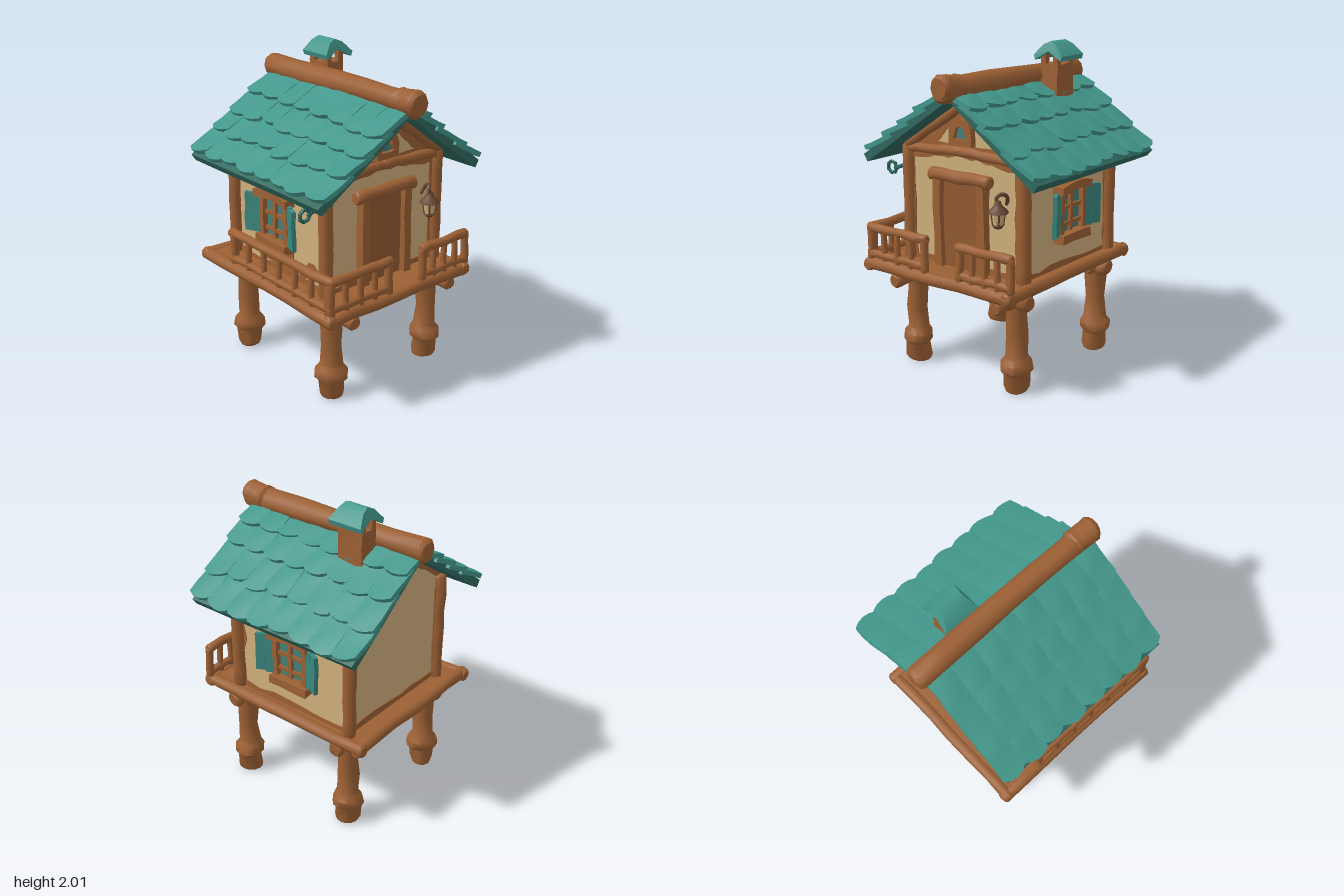
import * as THREE from 'three';
import { toCreasedNormals } from 'three/addons/utils/BufferGeometryUtils.js';

const mat = (name, color) => {
  const m = new THREE.MeshStandardMaterial({ color });
  m.name = name;
  return m;
};
const V = (x, y, z) => new THREE.Vector3(x, y, z);

export function createModel() {
  const house = new THREE.Group();
  house.name = 'stiltHouse';
  const wood = mat('wood', 0x9c6034), doorWood = mat('doorWood', 0x925a31);
  const teal = mat('tealShingle', 0x43978b), deckTeal = mat('roofUnderside', 0x31695f);
  const shutterTeal = mat('shutterTeal', 0x3a877d), plaster = mat('plaster', 0xcfb07c);
  const glass = mat('windowGlass', 0x437f78), iron = mat('lanternIron', 0x664732);
  let seed = 7;
  const rnd = () => (seed = (seed * 16807) % 2147483647) / 2147483647;

  // Gentle hand-carved unevenness
  const wobble = (geo, amp) => {
    const p = geo.attributes.position, k = rnd() * 9;
    for (let i = 0; i < p.count; i++) {
      const x = p.getX(i), y = p.getY(i), z = p.getZ(i);
      p.setXYZ(i, x + amp * Math.sin(y * 23 + z * 17 + k), y + amp * Math.sin(x * 19 + z * 21 + k * 2),
        z + amp * Math.sin(x * 18 + y * 25 + k * 3));
    }
    return geo;
  };
  const add = (parent, name, geo, material, amp = 0, crease = 0.6) => {
    if (amp) wobble(geo, amp);
    const m = new THREE.Mesh(toCreasedNormals(geo, crease), material);
    m.name = name;
    parent.add(m);
    return m;
  };
  const box = (parent, name, size, pos, material, amp = 0) => {
    const m = add(parent, name, new THREE.BoxGeometry(...size, 3, 3, 3), material, amp);
    m.position.set(...pos);
    return m;
  };
  const lathe = (parent, name, pts, pos, material, sides = 12, amp = 0) => {
    const m = add(parent, name, new THREE.LatheGeometry(pts.map(p => new THREE.Vector2(...p)), sides), material, amp, 0.8);
    m.position.set(...pos);
    return m;
  };
  // Rounded-end log between two points
  const log = (parent, name, a, b, r, amp = 0.004, material = wood) => {
    const d = b.clone().sub(a), L = d.length(), e = r * 0.3, pts = [[0, 0], [r * 0.75, 0], [r, e]];
    for (let i = 1; i < 6; i++) pts.push([r * (0.92 + 0.06 * rnd()), e + (L - 2 * e) * i / 6]);
    pts.push([r, L - e], [r * 0.75, L], [0, L]);
    const m = lathe(parent, name, pts, a.toArray(), material, 10, amp);
    m.quaternion.setFromUnitVectors(V(0, 1, 0), d.normalize());
    return m;
  };
  const shapeOf = pts => new THREE.Shape(pts.map(p => new THREE.Vector2(...p)));
  const extrude = (shape, depth) => new THREE.ExtrudeGeometry(shape, { depth, bevelEnabled: false });
  // Places a (z, y) extrusion so that it runs along x, ending at xMax
  const alongX = (parent, name, geo, xMax, material) => {
    const m = add(parent, name, geo, material);
    m.rotation.y = -Math.PI / 2;
    m.position.x = xMax;
    return m;
  };
  // Closed outline subdivided with an uneven, worn edge
  const wornPath = (corners, amp) => {
    const pts = [];
    corners.forEach((c, i) => {
      const n = corners[(i + 1) % corners.length];
      for (let j = 0; j < 7; j++) {
        pts.push(new THREE.Vector2(c[0] + (n[0] - c[0]) * j / 7 + (rnd() - 0.5) * amp,
          c[1] + (n[1] - c[1]) * j / 7 + (rnd() - 0.5) * amp));
      }
    });
    return new THREE.Path(pts);
  };

  // Stilts with crossed bracket logs
  const legProfile = [[0, 0], [0.07, 0], [0.08, 0.025], [0.078, 0.11], [0.098, 0.135], [0.096, 0.18],
    [0.07, 0.215], [0.064, 0.35], [0.066, 0.48], [0.074, 0.62]];
  for (const x of [-0.42, 0.42]) for (const z of [0.4, -0.39]) {
    lathe(house, 'stilt', legProfile, [x, 0, z], wood, 12, 0.006);
    log(house, 'bracketLog', V(x - 0.12, 0.57, z), V(x + (x > 0 ? 0.21 : 0.11), 0.57, z), 0.046);
    log(house, 'bracketLog', V(x + 0.02, 0.568, z - 0.11), V(x + 0.02, 0.568, z + 0.1), 0.055);
  }

  // Platform
  box(house, 'platformFloor', [1.2, 0.055, 1.08], [0.03, 0.65, 0.05], wood);
  for (const z of [0.585, -0.485]) log(house, 'platformEdge', V(-0.61, 0.65, z), V(0.67, 0.65, z), 0.042);
  for (const x of [-0.57, 0.63]) log(house, 'platformEdge', V(x, 0.65, -0.52), V(x, 0.65, 0.62), 0.041);

  // Railings
  const railing = (x0, z0, x1, z1, n) => {
    const g = new THREE.Group();
    g.name = 'railing';
    house.add(g);
    const at = (t, y) => V(x0 + (x1 - x0) * t, y, z0 + (z1 - z0) * t);
    log(g, 'topRail', at(0, 0.885), at(1, 0.885), 0.03);
    log(g, 'bottomRail', at(0.01, 0.718), at(0.99, 0.718), 0.026);
    for (let i = 0; i < n; i++) {
      const t = 0.04 + 0.92 * i / (n - 1);
      log(g, 'baluster', at(t, 0.68), at(t, 0.885), i % (n - 1) ? 0.02 : 0.026, 0.002);
    }
  };
  railing(-0.33, 0.58, 0.65, 0.58, 7);
  railing(0.63, 0.6, 0.63, 0.12, 5);
  railing(0.63, -0.12, 0.63, -0.52, 5);

  // Plaster body, corner posts and top beams
  const gable = [[-0.43, 0.66], [0.43, 0.66], [0.43, 1.42], [-0.03, 1.725], [-0.43, 1.42]];
  alongX(house, 'plasterWalls', extrude(shapeOf(gable), 0.88), 0.42, plaster);
  for (const x of [-0.465, 0.42]) for (const z of [-0.44, 0.44])
    log(house, 'cornerPost', V(x, 0.66, z), V(x, 1.4, z), 0.044);
  for (const z of [-0.43, 0.43]) log(house, 'wallPlate', V(-0.46, 1.375, z), V(0.44, 1.375, z), 0.036);
  for (const s of [1, -1]) {
    log(house, 'gableBeam', V(0.425, 1.375, s * 0.44), V(0.425, 1.398, -0.02 * s), 0.033);
    log(house, 'rafter', V(0.43, 1.395, s * 0.445), V(0.43, 1.69, -0.03), 0.034);
  }

  // Worn wooden borders around the plaster
  const doorTrim = shapeOf(gable);
  doorTrim.holes.push(wornPath([[-0.385, 0.71], [0.385, 0.71], [0.39, 1.32], [0, 1.365], [-0.385, 1.32]], 0.018),
    wornPath([[-0.24, 1.435], [0.2, 1.435], [0.08, 1.56], [-0.11, 1.56]], 0.012));
  alongX(house, 'doorWallBorder', extrude(doorTrim, 0.008), 0.427, wood);
  const plainTrim = shapeOf(gable);
  plainTrim.holes.push(wornPath([[-0.4, 0.715], [0.4, 0.715], [0.4, 1.4], [-0.02, 1.68], [-0.4, 1.4]], 0.02));
  alongX(house, 'plainWallBorder', extrude(plainTrim, 0.008), -0.459, wood);
  for (const s of [1, -1]) {
    const trim = shapeOf([[-0.46, 0.67], [0.42, 0.67], [0.42, 1.4], [-0.46, 1.4]]);
    trim.holes.push(wornPath([[-0.425, 0.71], [0.37, 0.71], [0.365, 1.27], [-0.42, 1.28]], 0.03));
    add(house, 'longWallBorder', extrude(trim, 0.008), wood).position.z = s > 0 ? 0.428 : -0.436;
  }
  // Bare patches low on the front wall
  for (const [x, y, r] of [[0.29, 0.79, 0.06], [0.2, 0.74, 0.05]]) {
    const patch = new THREE.Shape();
    for (let i = 0; i < 9; i++) {
      const a = i * Math.PI * 2 / 9, q = r * (0.7 + 0.5 * rnd());
      patch[i ? 'lineTo' : 'moveTo'](Math.cos(a) * q, Math.sin(a) * q * 0.7);
    }
    add(house, 'barePatch', extrude(patch, 0.006), wood).position.set(x, y, 0.428);
  }

  // Windows with shutters on both long walls
  for (const s of [1, -1]) {
    const g = new THREE.Group();
    g.name = 'window';
    g.position.set(-0.03, 0, s * 0.43);
    if (s < 0) g.rotation.y = Math.PI;
    house.add(g);
    box(g, 'windowPane', [0.23, 0.28, 0.008], [0, 1.03, 0.008], glass);
    for (const x of [-0.115, 0.115]) box(g, 'windowJamb', [0.035, 0.3, 0.05], [x, 1.02, 0.02], wood, 0.003);
    box(g, 'mullion', [0.026, 0.28, 0.03], [-0.005, 1.03, 0.018], wood, 0.003);
    for (const y of [0.95, 1.05]) box(g, 'glazingBar', [0.22, 0.024, 0.028], [0, y, 0.016], wood, 0.003);
    // arched header and sill
    const head = new THREE.BoxGeometry(0.31, 0.05, 0.075, 8, 2, 2), p = head.attributes.position;
    for (let i = 0; i < p.count; i++) p.setY(i, p.getY(i) - p.getX(i) ** 2 * 0.9);
    add(g, 'windowHeader', head, wood, 0.003).position.set(0, 1.187, 0.035);
    box(g, 'windowSill', [0.29, 0.055, 0.08], [0, 0.872, 0.035], wood, 0.004);
    if (s > 0) box(g, 'wornPanel', [0.28, 0.13, 0.009], [0, 0.785, 0.004], wood, 0.002);
    for (const k of [-1, 1]) {
      const shutter = new THREE.Group();
      shutter.name = 'shutter';
      shutter.position.set(k * 0.125, 1.03, 0.025);
      shutter.rotation.y = -k * 0.4;
      g.add(shutter);
      for (let i = 0; i < 2; i++)
        box(shutter, 'shutterBoard', [0.061, 0.26 - 0.01 * i, 0.026], [k * (0.032 + 0.06 * i), 0, 0], shutterTeal, 0.003);
    }
  }

  // Door and frame
  box(house, 'door', [0.03, 0.54, 0.28], [0.425, 0.94, 0.01], doorWood, 0.002);
  for (const z of [0.175, -0.16]) box(house, 'doorJamb', [0.07, 0.55, 0.055], [0.44, 0.95, z], wood, 0.004);
  log(house, 'doorLintel', V(0.45, 1.245, -0.225), V(0.45, 1.245, 0.24), 0.042);

  // Arched gable vent
  const arch = (w, h) => {
    const c = new THREE.Shape();
    c.moveTo(-w, 0); c.lineTo(w, 0); c.lineTo(w, h);
    c.absarc(0, h, w, 0, Math.PI, false);
    return c;
  };
  const ventShape = arch(0.085, 0.075);
  ventShape.holes.push(wornPath([[-0.05, 0.04], [0.05, 0.04], [0.03, 0.1], [0, 0.118], [-0.03, 0.1]], 0.004));
  alongX(house, 'ventFrame', extrude(ventShape, 0.05), 0.46, wood).position.y = 1.435;
  alongX(house, 'ventPane', extrude(arch(0.06, 0.06), 0.008), 0.435, glass).position.y = 1.45;

  // Roof slopes: base slab plus overlapping shingle courses
  const slope = (name, turn, angle, length, ends, xMid) => {
    const g = new THREE.Group();
    g.name = name;
    g.position.set(xMid, 1.725, -0.03);
    g.rotation.set(angle, turn, 0, 'YXZ');
    house.add(g);
    box(g, 'roofDeck', [1.225, 0.052, length], [0, 0.02, length / 2], deckTeal, 0.003);
    ends.forEach((end, row) => {
      const start = row ? ends[row - 1] - 0.08 : 0.02, n = 8;
      for (let i = 0; i < n; i++) {
        const w = 1.25 / n, L = end - start + (rnd() - 0.5) * 0.035;
        const geo = new THREE.BoxGeometry(w + 0.014, 0.03, L, 4, 1, 3), p = geo.attributes.position;
        const skew = (rnd() - 0.5) * 0.3;
        for (let v = 0; v < p.count; v++) {
          const x = p.getX(v), t = p.getZ(v) / L + 0.5, u = 2 * x / w;
          p.setY(v, p.getY(v) + 0.034 * t - 0.006 * u * u);
          p.setZ(v, p.getZ(v) + t * t * (0.012 - 0.026 * u * u + x * skew));
        }
        const m = add(g, 'shingle', geo, teal, 0.003);
        m.position.set(-0.625 + w * (i + 0.5), 0.037 + rnd() * 0.008, start + L / 2);
        m.rotation.z = (rnd() - 0.5) * 0.08;
      }
    });
  };
  slope('frontRoof', 0, 0.586, 0.785, [0.25, 0.415, 0.585, 0.76], -0.005);
  slope('backRoof', Math.PI, 0.649, 0.74, [0.165, 0.335, 0.54, 0.735], -0.03);

  // Ridge log with swollen ends
  log(house, 'ridgeLog', V(-0.68, 1.78, -0.033), V(0.67, 1.785, -0.033), 0.076, 0.005);
  log(house, 'ridgeEnd', V(0.49, 1.79, -0.033), V(0.672, 1.792, -0.033), 0.08, 0.004);

  // Chimney with a small gabled cap, narrower at the top
  box(house, 'chimney', [0.17, 0.3, 0.125], [-0.285, 1.71, -0.16], wood, 0.004);
  for (const x of [-0.35, -0.22]) for (const z of [-0.115, -0.205])
    box(house, 'chimneyPost', [0.04, 0.1, 0.034], [x, 1.89, z], wood);
  const cap = extrude(shapeOf([[-0.265, 1.885], [-0.165, 1.94], [-0.075, 1.885], [-0.065, 1.915], [-0.115, 1.978],
    [-0.165, 2], [-0.215, 1.978], [-0.275, 1.915]]), 0.23);
  const cp = cap.attributes.position;
  for (let i = 0; i < cp.count; i++) cp.setZ(i, 0.115 + (cp.getZ(i) - 0.115) * (1 - Math.max(0, cp.getY(i) - 1.915) * 4));
  alongX(house, 'chimneyCap', cap, -0.17, teal);

  // Wall lantern
  const lantern = new THREE.Group();
  lantern.name = 'lantern';
  lantern.position.set(0.5, 0, -0.315);
  house.add(lantern);
  const hook = new THREE.CatmullRomCurve3([V(-0.08, 1.13, 0), V(-0.06, 1.18, -0.02), V(-0.03, 1.2, -0.01), V(0, 1.185, 0.01), V(0, 1.14, 0)]);
  add(lantern, 'lanternHook', new THREE.TubeGeometry(hook, 12, 0.012, 6), iron);
  lathe(lantern, 'lanternRoof', [[0, 1.1], [0.062, 1.095], [0.055, 1.112], [0.024, 1.14], [0.016, 1.165], [0, 1.17]], [0, 0, 0], iron, 8);
  lathe(lantern, 'lanternGlass', [[0, 1.025], [0.03, 1.025], [0.041, 1.1], [0, 1.1]], [0, 0, 0], plaster, 8);
  lathe(lantern, 'lanternBase', [[0, 1.005], [0.022, 1.005], [0.034, 1.02], [0.03, 1.03], [0, 1.03]], [0, 0, 0], iron, 8);
  for (let i = 0; i < 4; i++) {
    const a = Math.PI / 4 + i * Math.PI / 2, c = Math.cos(a), s = Math.sin(a);
    log(lantern, 'lanternRib', V(c * 0.029, 1.02, s * 0.029), V(c * 0.041, 1.1, s * 0.041), 0.006, 0, iron);
  }

  // Hanging loop below the front eave
  log(house, 'loopArm', V(0.42, 1.25, 0.49), V(0.42, 1.22, 0.57), 0.013, 0, deckTeal);
  const loop = add(house, 'hangingLoop', new THREE.TorusGeometry(0.037, 0.012, 6, 7), deckTeal);
  loop.position.set(0.42, 1.225, 0.59);
  loop.rotation.y = Math.PI / 2;
  return house;
}
